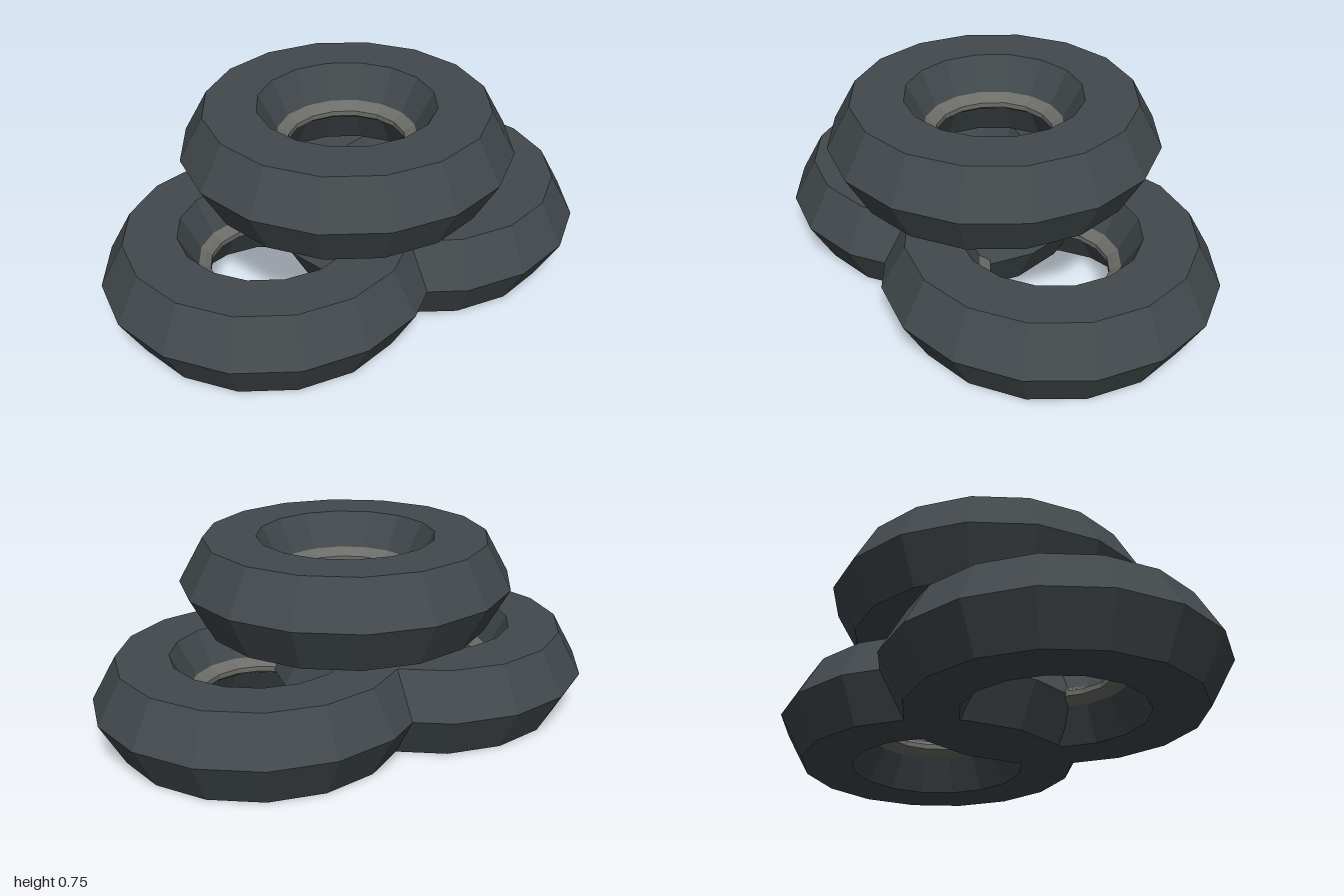
import * as THREE from 'three';

const SIDES = 16;
const HEIGHT = 0.335;

const rubber = new THREE.MeshStandardMaterial({ color: 0x42494c, flatShading: true });
const metal = new THREE.MeshStandardMaterial({ color: 0x6c6c68, flatShading: true, side: THREE.DoubleSide });

// Revolve [radius, height] pairs around the vertical axis
function ring(name, profile, material) {
  const points = profile.map(([r, y]) => new THREE.Vector2(r, y));
  const mesh = new THREE.Mesh(new THREE.LatheGeometry(points, SIDES), material);
  mesh.name = name;
  return mesh;
}

function createTire(name, x, y) {
  const mid = HEIGHT / 2;
  const tire = new THREE.Group();
  tire.name = name;
  // Bevelled tread, flat sidewalls and the funnel-shaped hole
  tire.add(ring('tireBody', [
    [0.268, 0.13], [0.34, 0], [0.54, 0], [0.633, mid],
    [0.54, HEIGHT], [0.34, HEIGHT], [0.268, HEIGHT - 0.13],
  ], rubber));
  // Stepped band lining the narrowest part of the hole
  tire.add(ring('innerRim', [
    [0.268, HEIGHT - 0.13], [0.245, mid + 0.025], [0.225, mid + 0.01],
    [0.225, mid - 0.01], [0.245, mid - 0.025], [0.268, 0.13],
  ], metal));
  tire.position.set(x, y, 0);
  return tire;
}

export function createModel() {
  const model = new THREE.Group();
  model.name = 'tireStack';
  // Two overlapping tires below, one above
  model.add(createTire('leftTire', 0.367, 0));
  model.add(createTire('rightTire', -0.367, 0));
  model.add(createTire('topTire', 0, 0.41));
  return model;
}
